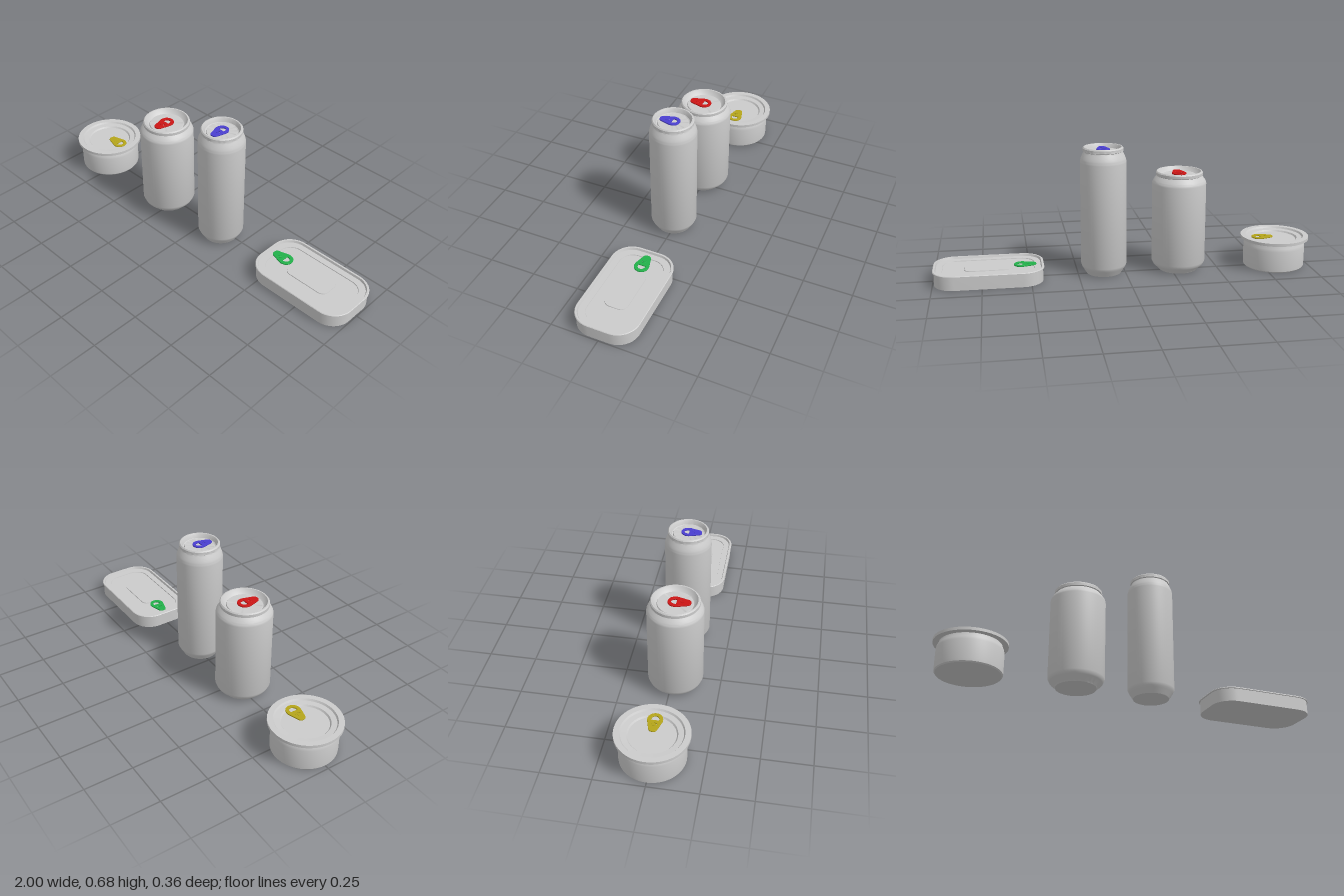
import * as THREE from 'three';
import { toCreasedNormals } from 'three/addons/utils/BufferGeometryUtils.js';

const metal = new THREE.MeshStandardMaterial({ color: 0xcccccc });

function mesh(name, geometry, material = metal) {
  const m = new THREE.Mesh(geometry, material);
  m.name = name;
  return m;
}

// Round can turned from a closed profile of [radius, height] points, bottom to lid centre
function turned(name, profile) {
  const points = profile.map(([r, y]) => new THREE.Vector2(r, y));
  return mesh(name, toCreasedNormals(new THREE.LatheGeometry(points, 56), 0.6));
}

// Rounded-rectangle tin lofted through sections [halfX, halfZ, cornerRadius, y]
function lofted(name, sections, perCorner = 10) {
  const positions = [], index = [], n = 4 * (perCorner + 1);
  for (const [hx, hz, r, y] of sections) {
    for (let c = 0; c < 4; c++) {
      const sx = c === 0 || c === 3 ? 1 : -1, sz = c < 2 ? 1 : -1;
      for (let k = 0; k <= perCorner; k++) {
        const t = (c + k / perCorner) * Math.PI / 2;
        positions.push(sx * (hx - r) + r * Math.cos(t), y, sz * (hz - r) + r * Math.sin(t));
      }
    }
  }
  for (let i = 0; i < sections.length - 1; i++) {
    for (let j = 0; j < n; j++) {
      const a = i * n + j, b = i * n + (j + 1) % n;
      index.push(a, a + n, b + n, a, b + n, b);
    }
  }
  const g = new THREE.BufferGeometry();
  g.setAttribute('position', new THREE.Float32BufferAttribute(positions, 3));
  g.setIndex(index);
  return mesh(name, toCreasedNormals(g, 0.6));
}

// Teardrop pull tab: wide finger ring toward -z, narrow riveted nose toward +z
function pullTab(color, size = 1) {
  const group = new THREE.Group();
  group.name = 'pullTab';
  const material = new THREE.MeshStandardMaterial({ color });

  const outline = new THREE.Shape();
  outline.moveTo(-0.019, -0.045);
  outline.bezierCurveTo(-0.016, -0.06, 0.016, -0.06, 0.019, -0.045);
  outline.lineTo(0.036, 0.012);
  outline.bezierCurveTo(0.042, 0.071, -0.042, 0.071, -0.036, 0.012);
  outline.closePath();

  // Finger opening
  const finger = new THREE.Path();
  finger.moveTo(-0.021, 0.012);
  finger.bezierCurveTo(-0.024, 0.053, 0.024, 0.053, 0.021, 0.012);
  finger.lineTo(-0.021, 0.012);
  outline.holes.push(finger);

  // Curved slot around the rivet tongue
  const slot = new THREE.Path();
  slot.absarc(0, -0.018, 0.017, 0.1, Math.PI - 0.1, false);
  slot.absarc(0, -0.018, 0.011, Math.PI - 0.1, 0.1, true);
  slot.closePath();
  outline.holes.push(slot);

  const plate = new THREE.ExtrudeGeometry(outline, {
    depth: 0.004, bevelThickness: 0.0015, bevelSize: 0.0015, bevelSegments: 2, curveSegments: 14,
  });
  plate.rotateX(-Math.PI / 2);
  plate.translate(0, 0.0025, 0);
  group.add(mesh('tabPlate', plate, material));

  const rivet = mesh('tabRivet', new THREE.CylinderGeometry(0.007, 0.008, 0.01, 16), material);
  rivet.position.set(0, 0.005, 0.018);
  group.add(rivet);
  group.scale.set(size, 1, size);
  return group;
}

// Drinks can profile: r body, neck and rim radii, heights of shoulder and top
function drinkProfile(r, foot, rim, shoulder, top, panel) {
  const neck = rim - 0.005, y0 = top - 0.024, rise = y0 - shoulder;
  const points = [[0, 0], [foot, 0], [foot + 0.005, 0.008], [r - 0.011, 0.028], [r - 0.006, 0.036], [r, 0.05], [r, shoulder]];
  // Shoulder curve
  for (let i = 1; i <= 8; i++) {
    const t = i / 8;
    points.push([r + (neck - r) * t * t * (1.6 - 0.6 * t), shoulder + rise * t]);
  }
  // Rolled rim, then the recessed lid
  points.push([rim, y0 + 0.003], [rim, top - 0.006], [rim - 0.005, top], [rim - 0.011, top],
    [rim - 0.015, top - 0.006], [panel + 0.008, top - 0.022], [panel + 0.003, top - 0.025],
    [panel, top - 0.02], [0, top - 0.02]);
  return points;
}

export function createModel() {
  const model = new THREE.Group();
  model.name = 'cans';

  function place(name, body, x, z, tab, tx, ty, tz, turn = 0) {
    const group = new THREE.Group();
    group.name = name;
    group.position.set(x, 0, z);
    tab.position.set(tx - x, ty, tz - z);
    tab.rotation.y = turn;
    group.add(body, tab);
    model.add(group);
  }

  // Short round food can with a wide flange and dished lid
  const roundBody = turned('roundCanBody', [
    [0, 0], [0.157, 0], [0.162, 0.006], [0.163, 0.02], [0.163, 0.115], [0.16, 0.13], [0.153, 0.145],
    [0.152, 0.152], [0.181, 0.152], [0.181, 0.167], [0.153, 0.167], [0.147, 0.158],
    [0.12, 0.156], [0.114, 0.148], [0, 0.148],
  ]);
  place('roundFoodCan', roundBody, -0.819, 0, pullTab(0xb5a51a), -0.75, 0.154, -0.003, -Math.PI / 2);

  // Wide drinks can
  const wideBody = turned('wideCanBody', drinkProfile(0.142, 0.103, 0.123, 0.47, 0.535, 0.088));
  place('wideDrinkCan', wideBody, -0.291, 0.018, pullTab(0xcc1515), -0.291, 0.516, 0.038);

  // Tall slim drinks can
  const slimBody = turned('slimCanBody', drinkProfile(0.12, 0.092, 0.105, 0.595, 0.675, 0.076));
  place('slimDrinkCan', slimBody, 0.111, 0.017, pullTab(0x4a3fd0, 0.92), 0.111, 0.656, 0.034);

  // Flat rectangular tin with rolled rim and stepped lid panels
  const flatBody = lofted('flatTinBody', [
    [0.001, 0.001, 0.001, 0], [0.278, 0.16, 0.105, 0], [0.278, 0.16, 0.105, 0.068],
    [0.284, 0.165, 0.11, 0.069], [0.284, 0.165, 0.11, 0.073], [0.281, 0.162, 0.107, 0.076],
    [0.272, 0.153, 0.098, 0.076], [0.268, 0.149, 0.094, 0.065],
    [0.236, 0.117, 0.07, 0.065], [0.235, 0.116, 0.07, 0.061],
    [0.125, 0.06, 0.035, 0.061], [0.124, 0.059, 0.035, 0.065], [0.001, 0.001, 0.001, 0.065],
  ]);
  place('flatTin', flatBody, 0.715, 0, pullTab(0x22b04a), 0.527, 0.066, -0.004, -Math.PI / 2);

  return model;
}
